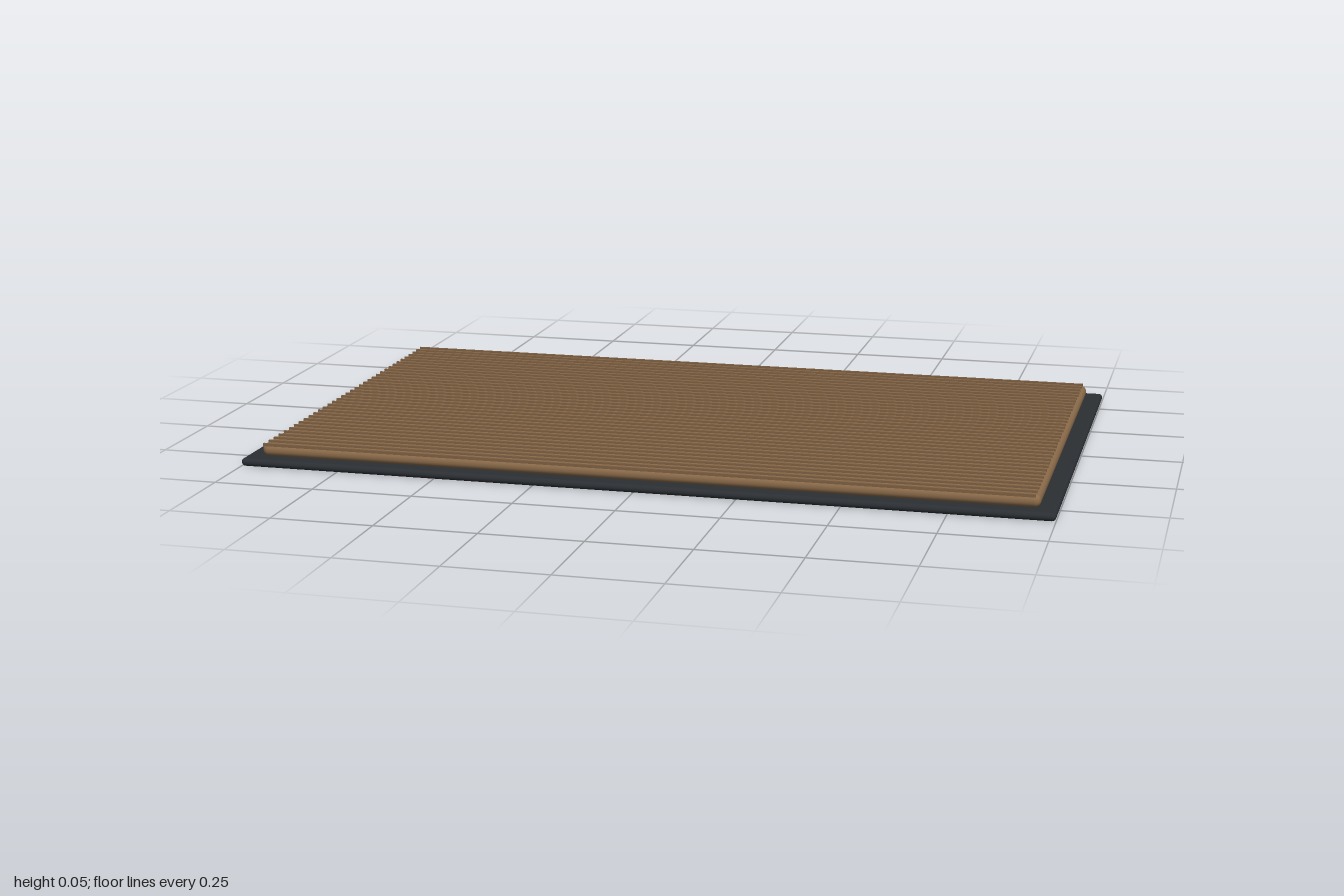
import * as THREE from 'three';
import { RoundedBoxGeometry } from 'three/addons/geometries/RoundedBoxGeometry.js';

export function createModel() {
  const group = new THREE.Group();
  const rubber = new THREE.MeshStandardMaterial({ color: 0x2b2f33 });
  const coir = new THREE.MeshStandardMaterial({ color: 0x8b6b4a });
  const ridgeCoir = new THREE.MeshStandardMaterial({ color: 0x7d5f41 });

  const add = (name, geometry, material, y, z = 0) => {
    const mesh = new THREE.Mesh(geometry, material);
    mesh.name = name;
    mesh.position.set(0, y, z);
    group.add(mesh);
  };

  // Rubber backing and the thick fibre pad on top of it
  add('rubberBase', new RoundedBoxGeometry(2, 0.02, 1.2, 4, 0.01), rubber, 0.01);
  add('fibrePad', new RoundedBoxGeometry(1.92, 0.032, 1.125, 5, 0.0155), coir, 0.034);

  // Fine raised ribs across the width, evenly pitched from front to back
  const rib = new THREE.BoxGeometry(1.9, 0.007, 0.006);
  for (let i = 0; i < 36; i++) {
    add('rib' + (i + 1), rib, ridgeCoir, 0.0515, 0.57 - i * 0.032);
  }
  return group;
}
